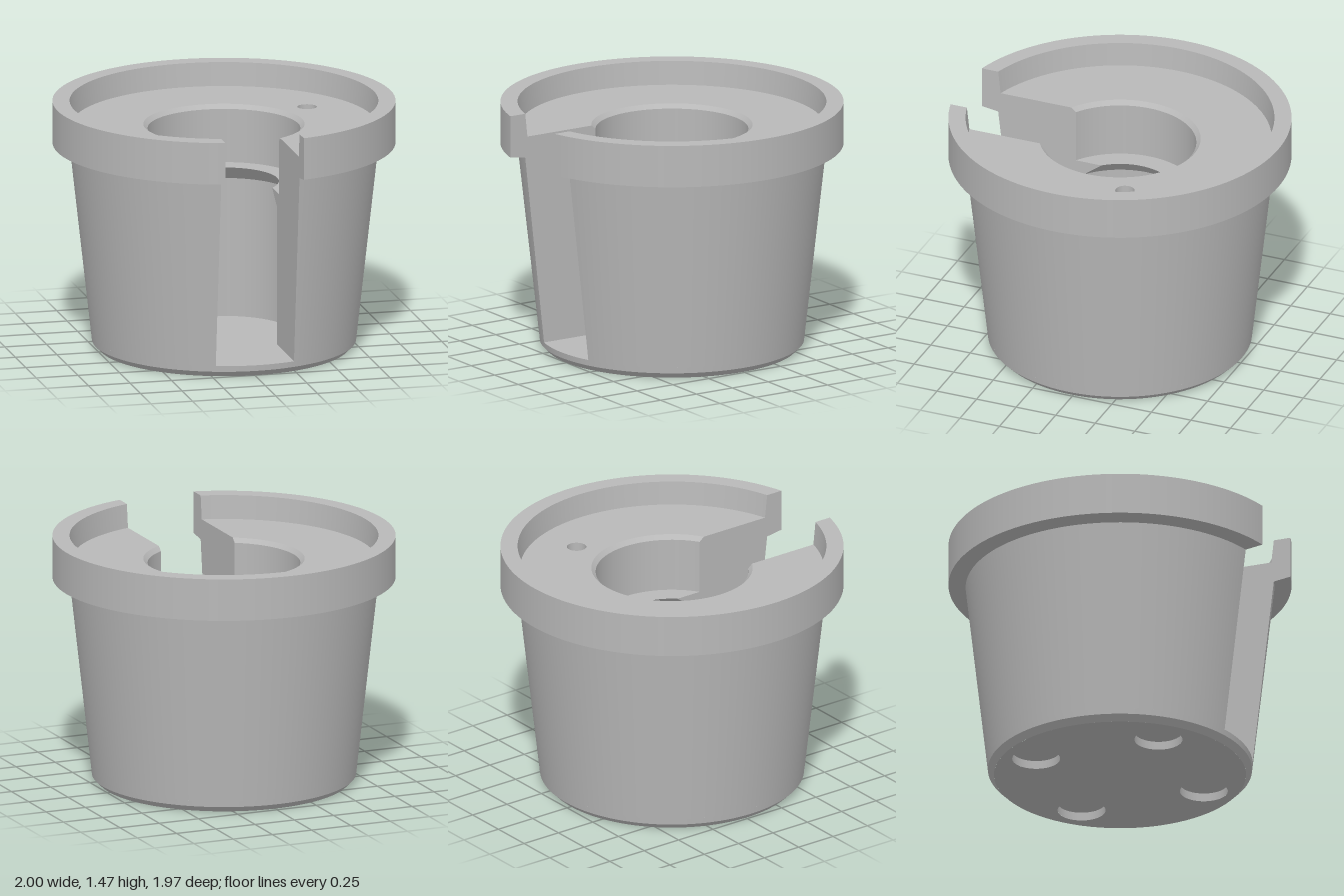
import * as THREE from 'three';

const SLOT = 0.235;   // half width of the front slot
const AXIS_Z = 0.014; // the cut front shifts the axis slightly forward
const FLOOR = 0.07, RECESS = 1.33;

// Wall profile [radius, y]: up the outside, then down the inside
const WALL = [
  [0.774, FLOOR], [0.9, 1.205], [1, 1.22], [1, 1.47], [0.9, 1.47], [0.885, RECESS],
  [0.47, RECESS], [0.445, 1.305], [0.445, 0.985], [0.32, 0.985], [0.405, 0.9], [0.405, FLOOR],
];
const RECESS_SEGMENT = 5; // flat floor with a pin hole, made separately

// Angle around the axis (from +z), leaving a gap of half width w at the front
function angleAt(r, w, t) {
  const gap = w > 0 ? Math.asin(w / r) : 0;
  return gap + t * 2 * (Math.PI - gap);
}

// Revolve a profile with sharp edges between its segments
function revolve(profile, w = 0, segments = 128, skip = -1) {
  const position = [], normal = [], index = [];
  for (let i = 0; i + 1 < profile.length; i++) {
    if (i === skip) continue;
    const [a, b] = [profile[i], profile[i + 1]];
    const n = new THREE.Vector2(b[1] - a[1], a[0] - b[0]).normalize();
    const start = position.length / 3;
    for (let j = 0; j <= segments; j++) {
      for (const [r, y] of [a, b]) {
        const t = angleAt(r, w, j / segments);
        position.push(r * Math.sin(t), y, r * Math.cos(t));
        normal.push(n.x * Math.sin(t), n.y, n.x * Math.cos(t));
      }
      if (j < segments) {
        const k = start + j * 2;
        index.push(k, k + 2, k + 3, k, k + 3, k + 1);
      }
    }
  }
  const g = new THREE.BufferGeometry();
  g.setAttribute('position', new THREE.Float32BufferAttribute(position, 3));
  g.setAttribute('normal', new THREE.Float32BufferAttribute(normal, 3));
  g.setIndex(index);
  return g;
}

function circleHole(x, y, r) {
  return new THREE.Path().absarc(x, y, r, 0, Math.PI * 2, true);
}

export function createModel() {
  const model = new THREE.Group();
  const body = new THREE.Group();
  body.name = 'slottedHolder';
  body.position.z = AXIS_Z;
  model.add(body);

  const grey = new THREE.MeshStandardMaterial({ color: 0xb8b8b8 });
  grey.name = 'grey';
  const add = (name, geometry, x = 0, y = 0, z = 0) => {
    const mesh = new THREE.Mesh(geometry, grey);
    mesh.name = name;
    mesh.position.set(x, y, z);
    body.add(mesh);
  };

  // Tapered wall with rim, bore, ledge and lower cavity
  add('wall', revolve(WALL, SLOT, 128, RECESS_SEGMENT));

  // Flat sides of the slot
  for (const s of [1, -1]) {
    const outline = WALL.map(([r, y]) => new THREE.Vector2(s * Math.sqrt(r * r - SLOT * SLOT), y));
    const g = new THREE.ShapeGeometry(new THREE.Shape(outline));
    add(s > 0 ? 'leftSlotSide' : 'rightSlotSide', g.rotateY(-s * Math.PI / 2), s * SLOT);
  }

  // Recess floor around the bore, with a blind pin hole
  const ring = [];
  for (const [r, back] of [[0.885, false], [0.47, true]]) {
    for (let j = 0; j <= 128; j++) {
      const t = angleAt(r, SLOT, (back ? 128 - j : j) / 128);
      ring.push(new THREE.Vector2(r * Math.sin(t), -r * Math.cos(t)));
    }
  }
  const pin = { x: 0.567, z: -0.27, r: 0.057, depth: 0.1 };
  const recess = new THREE.Shape(ring);
  recess.holes.push(circleHole(pin.x, -pin.z, pin.r));
  add('recessFloor', new THREE.ShapeGeometry(recess, 24).rotateX(-Math.PI / 2), 0, RECESS);
  add('pinHole', revolve([[pin.r, 0], [pin.r, -pin.depth], [0, -pin.depth]], 0, 48), pin.x, RECESS, pin.z);

  // Base plate with bevelled foot; its top is the cavity floor
  add('base', revolve([[0.735, 0], [0.77, 0.035], [0.774, FLOOR], [0, FLOOR]]));

  // Underside with four shallow round pockets
  const underside = new THREE.Shape().absarc(0, 0, 0.735, 0, Math.PI * 2, false);
  for (const x of [-0.38, 0.38]) {
    for (const z of [-0.38, 0.38]) {
      underside.holes.push(circleHole(x, z, 0.14));
      add('footPocket', revolve([[0, 0.05], [0.14, 0.05], [0.14, 0]], 0, 48), x, 0, z);
    }
  }
  add('underside', new THREE.ShapeGeometry(underside, 48).rotateX(Math.PI / 2));

  return model;
}
